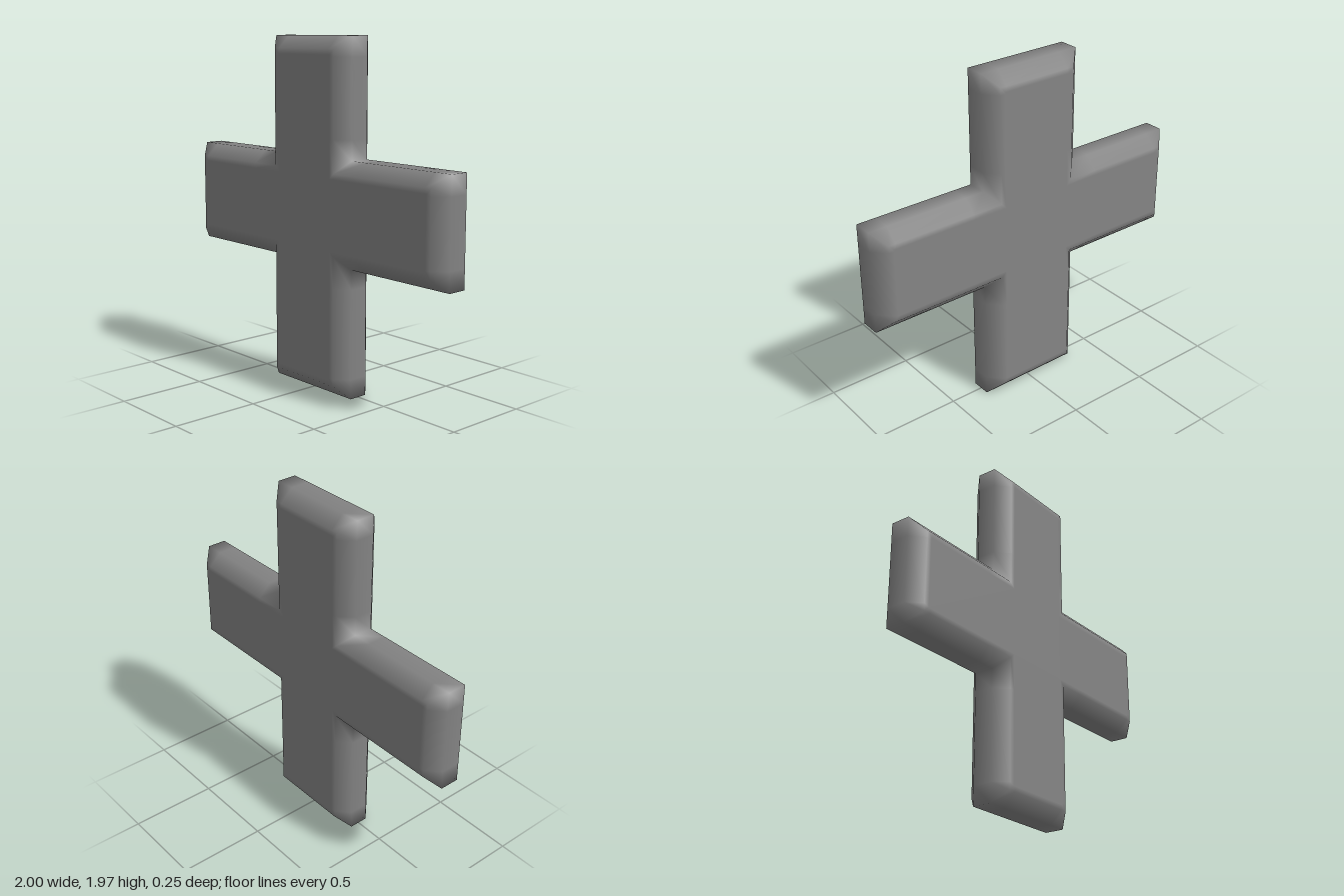
import * as THREE from 'three';

export function createModel() {
  const group = new THREE.Group();
  group.name = 'plusCross';

  // Outline corners, counter-clockwise
  const left = -0.32, right = 0.3, low = 0.725, high = 1.315, top = 1.97;
  const corners = [
    [left, 0], [right, 0], [right, low], [1, low], [1, high], [right, high],
    [right, top], [left, top], [left, high], [-1, high], [-1, low], [left, low],
  ].map(([x, y]) => new THREE.Vector2(x, y));

  // Each corner gets a neighbour on both sides, so its shading stays local
  const spread = 0.11;
  const outline = [];
  corners.forEach((corner, k) => {
    const toPrev = corners.at(k - 1).clone().sub(corner).normalize();
    const toNext = corners[(k + 1) % corners.length].clone().sub(corner).normalize();
    const outPrev = new THREE.Vector2(-toPrev.y, toPrev.x);
    const outNext = new THREE.Vector2(toNext.y, -toNext.x);
    outline.push(
      { point: corner.clone().addScaledVector(toPrev, spread), out: outPrev },
      { point: corner, out: outPrev.clone().add(outNext) },
      { point: corner.clone().addScaledVector(toNext, spread), out: outNext },
    );
  });

  // Rings from back to front: inset, depth and tilt of the normal towards the front
  const rings = [
    [0.1, -0.125, -90], [0.07, -0.125, -65], [0, -0.055, -25],
    [0, 0.055, 25], [0.07, 0.125, 65], [0.1, 0.125, 90],
  ];
  const positions = [], normals = [], index = [];
  const count = outline.length;
  rings.forEach(([inset, z, degrees], r) => {
    const tilt = THREE.MathUtils.degToRad(degrees);
    outline.forEach(({ point, out }, i) => {
      const edge = point.clone().addScaledVector(out, -inset);
      const side = out.clone().normalize().multiplyScalar(Math.cos(tilt));
      positions.push(edge.x, edge.y, z);
      normals.push(side.x, side.y, Math.sin(tilt));
      if (r === rings.length - 1) return;
      const a = r * count + i, b = r * count + (i + 1) % count;
      index.push(a, b, b + count, a, b + count, a + count);
    });
  });

  // Flat front and back faces
  const frontStart = (rings.length - 1) * count;
  for (const face of THREE.ShapeUtils.triangulateShape(corners, [])) {
    const [a, b, c] = face.map((k) => 3 * k + 1);
    index.push(frontStart + a, frontStart + b, frontStart + c, a, c, b);
  }

  const geometry = new THREE.BufferGeometry();
  geometry.setAttribute('position', new THREE.Float32BufferAttribute(positions, 3));
  geometry.setAttribute('normal', new THREE.Float32BufferAttribute(normals, 3));
  geometry.setIndex(index);

  const cross = new THREE.Mesh(geometry, new THREE.MeshStandardMaterial({ color: 0x858585 }));
  cross.name = 'crossBody';
  group.add(cross);
  return group;
}
